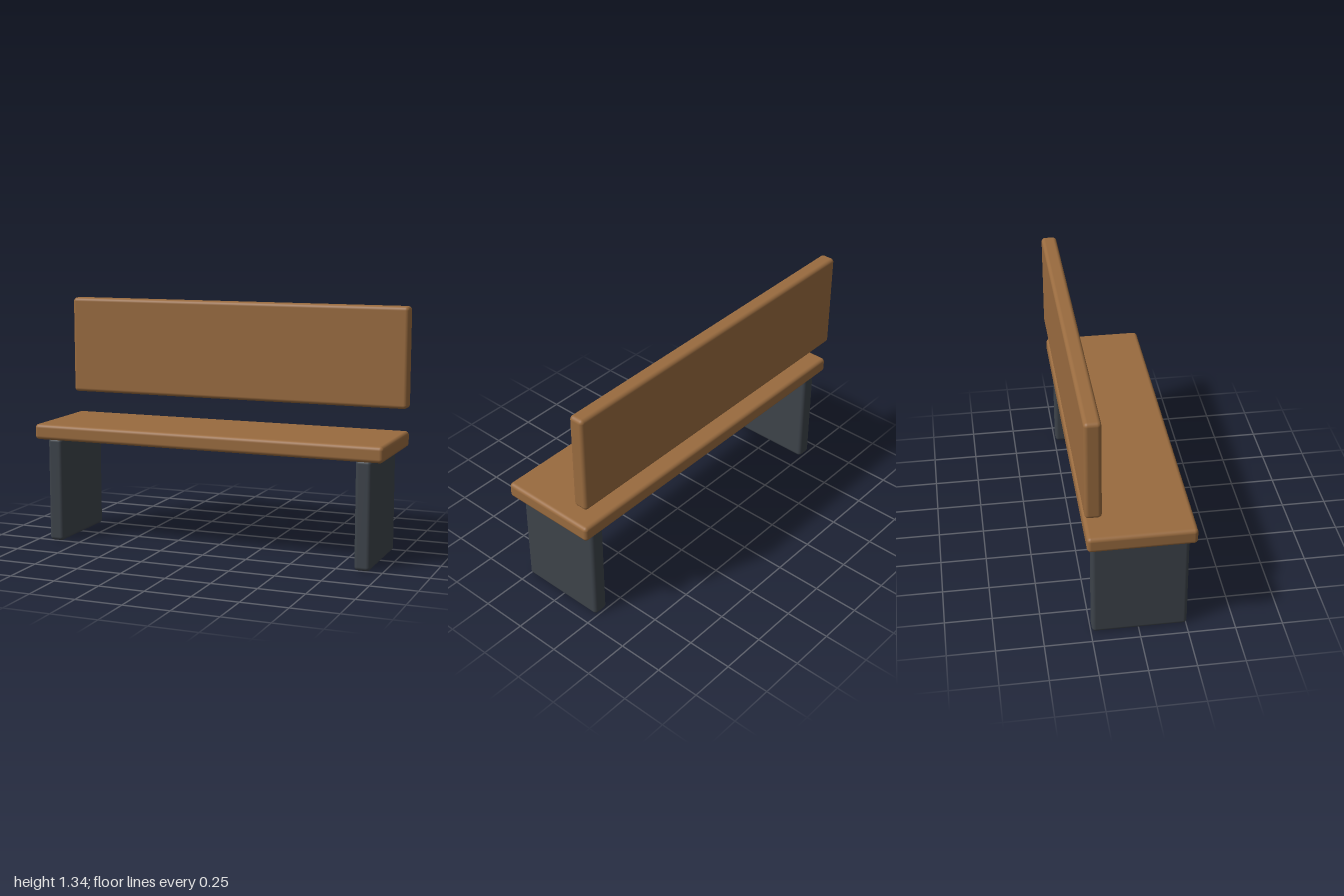
import * as THREE from 'three';
import { RoundedBoxGeometry } from 'three/addons/geometries/RoundedBoxGeometry.js';

export function createModel() {
  const bench = new THREE.Group();
  bench.name = 'bench';

  const wood = new THREE.MeshStandardMaterial({ color: 0x996b3f });
  wood.name = 'brown wood';
  const metal = new THREE.MeshStandardMaterial({ color: 0x3d434a });
  metal.name = 'dark grey metal';

  const T = 0.086; // thickness shared by every slab
  const slab = (name, material, size, position) => {
    const mesh = new THREE.Mesh(new RoundedBoxGeometry(...size, 4, 0.021), material);
    mesh.name = name;
    mesh.position.set(...position);
    bench.add(mesh);
  };

  // Seat board and floating backrest
  slab('seat', wood, [2, T, 0.556], [0, 0.62, 0.006]);
  slab('backrest', wood, [2, 0.55, T], [0, 1.063, -0.239]);

  // Panel legs, mirrored
  for (const [name, side] of [['leftLeg', 1], ['rightLeg', -1]]) {
    slab(name, metal, [T, 0.584, 0.5], [side * 0.89, 0.292, 0.006]);
  }

  return bench;
}
